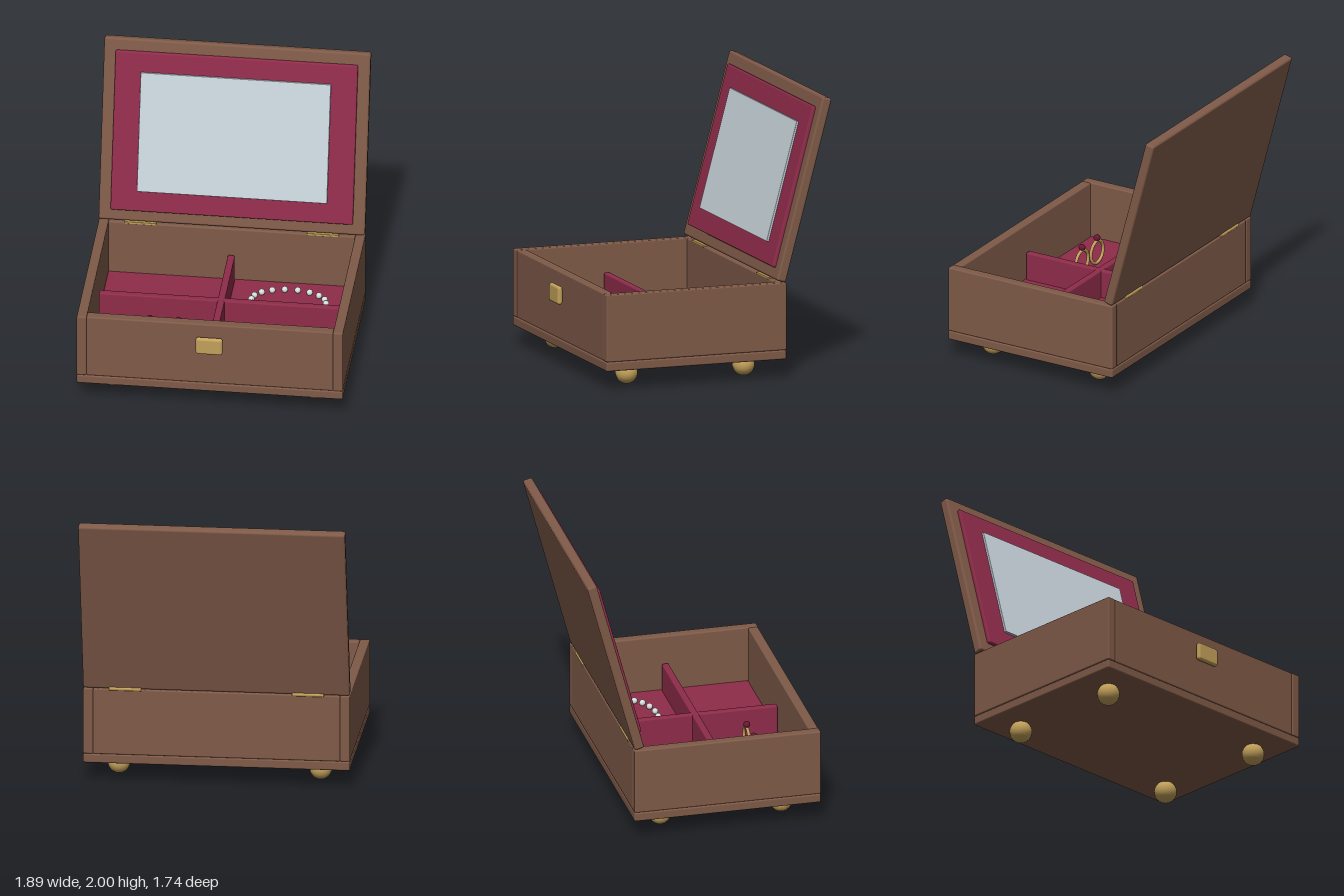
import * as THREE from 'three';
import { RoundedBoxGeometry } from 'three/addons/geometries/RoundedBoxGeometry.js';

const material = (name, color) => Object.assign(new THREE.MeshStandardMaterial({ color }), { name });

export function createModel() {
  const wood = material('wood', 0x7f5a48);
  const velvet = material('velvet', 0x8f2c4a);
  const brass = material('brass', 0xc2a05a);
  const glass = material('mirror glass', 0xc8d3da);
  const pearl = material('pearl', 0xd4dfde);
  const ruby = material('ruby', 0x6e1630);

  const model = new THREE.Group();
  model.name = 'jewelleryBox';

  const add = (parent, name, geometry, mat, x = 0, y = 0, z = 0) => {
    const mesh = new THREE.Mesh(geometry, mat);
    mesh.name = name;
    mesh.position.set(x, y, z);
    parent.add(mesh);
    return mesh;
  };
  // Softly rounded block given by its extents on each axis
  const block = (parent, name, mat, [x0, x1], [y0, y1], [z0, z1], r = 0.01) =>
    add(parent, name, new RoundedBoxGeometry(x1 - x0, y1 - y0, z1 - z0, 3, r), mat,
      (x0 + x1) / 2, (y0 + y1) / 2, (z0 + z1) / 2);

  // Base and walls
  block(model, 'basePlate', wood, [-0.945, 0.945], [0.14, 0.207], [-0.53, 0.825], 0.012);
  const wallY = [0.207, 0.69];
  block(model, 'frontWall', wood, [-0.875, 0.875], wallY, [0.75, 0.822]);
  block(model, 'backWall', wood, [-0.875, 0.875], wallY, [-0.53, -0.46]);
  block(model, 'rightWall', wood, [-0.945, -0.875], wallY, [-0.53, 0.825]);
  block(model, 'leftWall', wood, [0.875, 0.945], wallY, [-0.53, 0.825]);

  // Velvet lining and crossed dividers
  block(model, 'velvetFloor', velvet, [-0.875, 0.875], [0.2, 0.28], [-0.46, 0.75], 0.005);
  block(model, 'longDivider', velvet, [-0.865, 0.865], [0.27, 0.485], [0.12, 0.17]);
  block(model, 'crossDivider', velvet, [-0.025, 0.025], [0.27, 0.485], [-0.45, 0.74]);

  // Ball feet
  const foot = new THREE.SphereGeometry(0.08, 20, 14);
  for (const x of [-0.715, 0.715])
    for (const z of [-0.29, 0.59]) add(model, 'foot', foot, brass, x, 0.082, z);

  // Clasp
  block(model, 'clasp', brass, [-0.095, 0.095], [0.47, 0.6], [0.835, 0.873], 0.018);

  // Hinges: a leaf on the back wall and a barrel along the seam
  for (const x of [-0.648, 0.648]) {
    block(model, 'hingeLeaf', brass, [x - 0.113, x + 0.113], [0.682, 0.7], [-0.525, -0.456], 0.004);
    const barrel = add(model, 'hingeBarrel', new THREE.CylinderGeometry(0.014, 0.014, 0.226, 12),
      brass, x, 0.692, -0.522);
    barrel.rotation.z = Math.PI / 2;
  }

  // Open lid with padded panel and mirror, leaning back on its hinge line
  const lid = new THREE.Group();
  lid.name = 'lid';
  lid.position.set(0, 0.69, -0.525);
  lid.rotation.x = -Math.PI / 12;
  model.add(lid);
  block(lid, 'lidBoard', wood, [-0.945, 0.945], [0, 1.342], [0, 0.07], 0.016);
  block(lid, 'lidPanel', velvet, [-0.86, 0.86], [0.08, 1.255], [0.06, 0.094], 0.012);
  block(lid, 'mirror', glass, [-0.675, 0.675], [0.23, 1.108], [0.088, 0.109], 0.004);

  // Pearl necklace laid out in an oval
  const necklace = new THREE.Group();
  necklace.name = 'pearlNecklace';
  model.add(necklace);
  const bead = new THREE.SphereGeometry(0.023, 12, 8);
  for (let i = 0; i < 18; i++) {
    const a = (i / 18) * Math.PI * 2;
    add(necklace, 'pearl', bead, pearl, 0.44 + 0.265 * Math.cos(a), 0.303, -0.175 + 0.155 * Math.sin(a));
  }

  // Two standing rings, each topped with a gem
  for (const x of [-0.47, -0.267]) {
    const ring = new THREE.Group();
    ring.name = 'gemRing';
    ring.position.set(x, 0.375, 0.455);
    model.add(ring);
    add(ring, 'band', new THREE.TorusGeometry(0.083, 0.012, 8, 28), brass);
    add(ring, 'gem', new THREE.IcosahedronGeometry(0.025, 1), ruby, 0, 0.108, 0);
  }

  return model;
}
